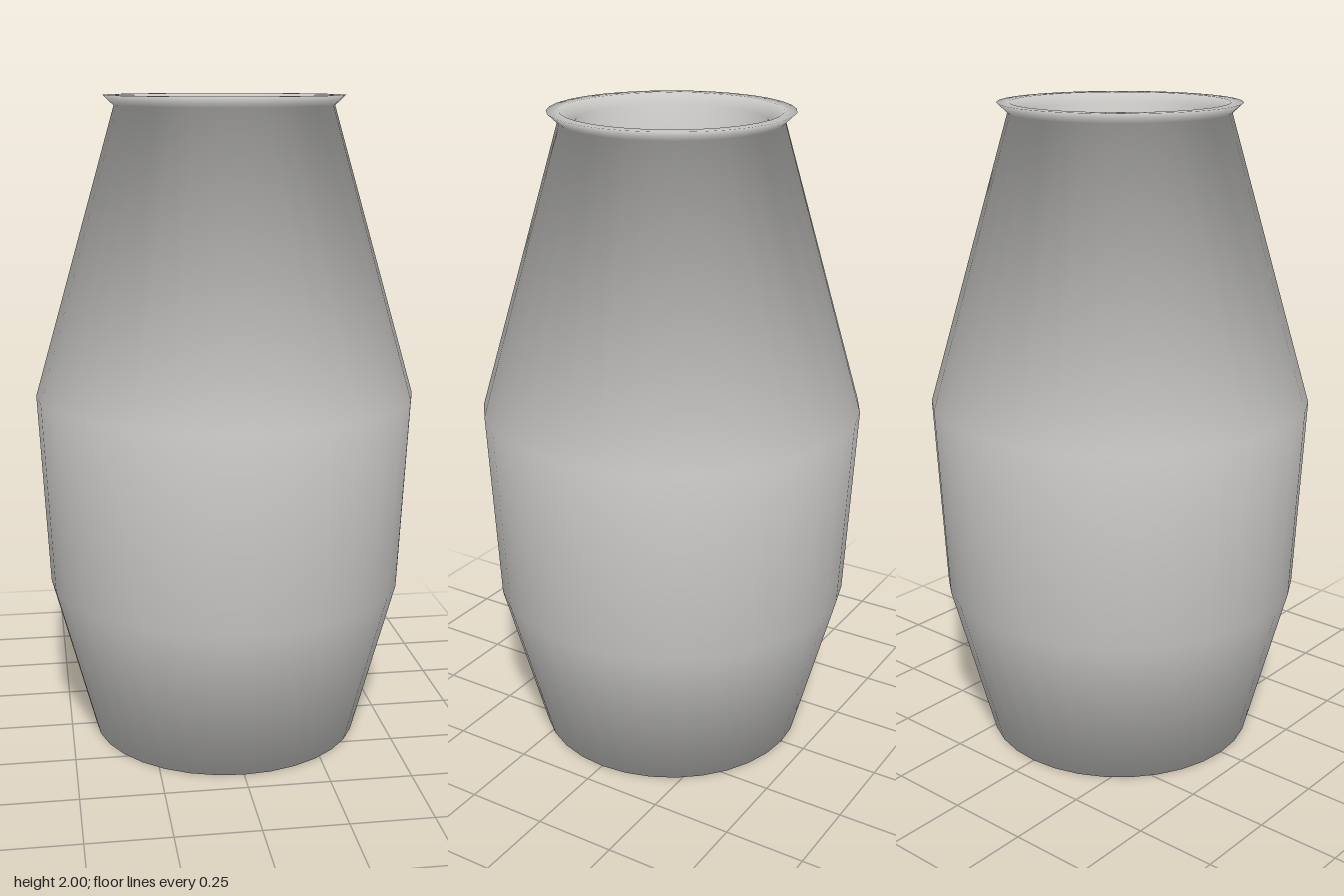
import * as THREE from 'three';

const SEGMENTS = 32;

// Revolve [radius, height, normal tilt in degrees]; the tilts give the soft, uncreased shading.
function revolve(profile) {
  const points = profile.map(([r, y]) => new THREE.Vector2(r, y));
  const geometry = new THREE.LatheGeometry(points, SEGMENTS);
  const normal = geometry.attributes.normal;
  for (let i = 0; i < normal.count; i++) {
    const turn = (Math.floor(i / profile.length) / SEGMENTS) * Math.PI * 2;
    const tilt = THREE.MathUtils.degToRad(profile[i % profile.length][2]);
    const out = Math.cos(tilt);
    normal.setXYZ(i, out * Math.sin(turn), Math.sin(tilt), out * Math.cos(turn));
  }
  return geometry;
}

export function createModel() {
  const model = new THREE.Group();
  model.name = 'vase';

  const clay = new THREE.MeshStandardMaterial({ color: 0xcbcac7 });
  clay.name = 'pale grey clay';

  const add = (name, profile) => {
    const mesh = new THREE.Mesh(revolve(profile), clay);
    mesh.name = name;
    model.add(mesh);
  };

  // Underside and outer wall
  add('outerBody', [
    [0, 0, -90],
    [0.42, 0, -52],
    [0.553, 0.5, -9],
    [0.583, 1.1, 7],
    [0.33, 1.97, -32],
  ]);

  // Flared lip, over the top and into the mouth
  add('lip', [
    [0.33, 1.97, -32],
    [0.362, 2, 23],
    [0.325, 2, 107],
    [0.28, 1.97, 160],
  ]);

  // Hollow inside and floor
  add('innerWall', [
    [0.28, 1.97, 160],
    [0.533, 1.1, 187],
    [0.503, 0.5, 171],
    [0.38, 0.05, 128],
    [0, 0.05, 110],
  ]);

  return model;
}
